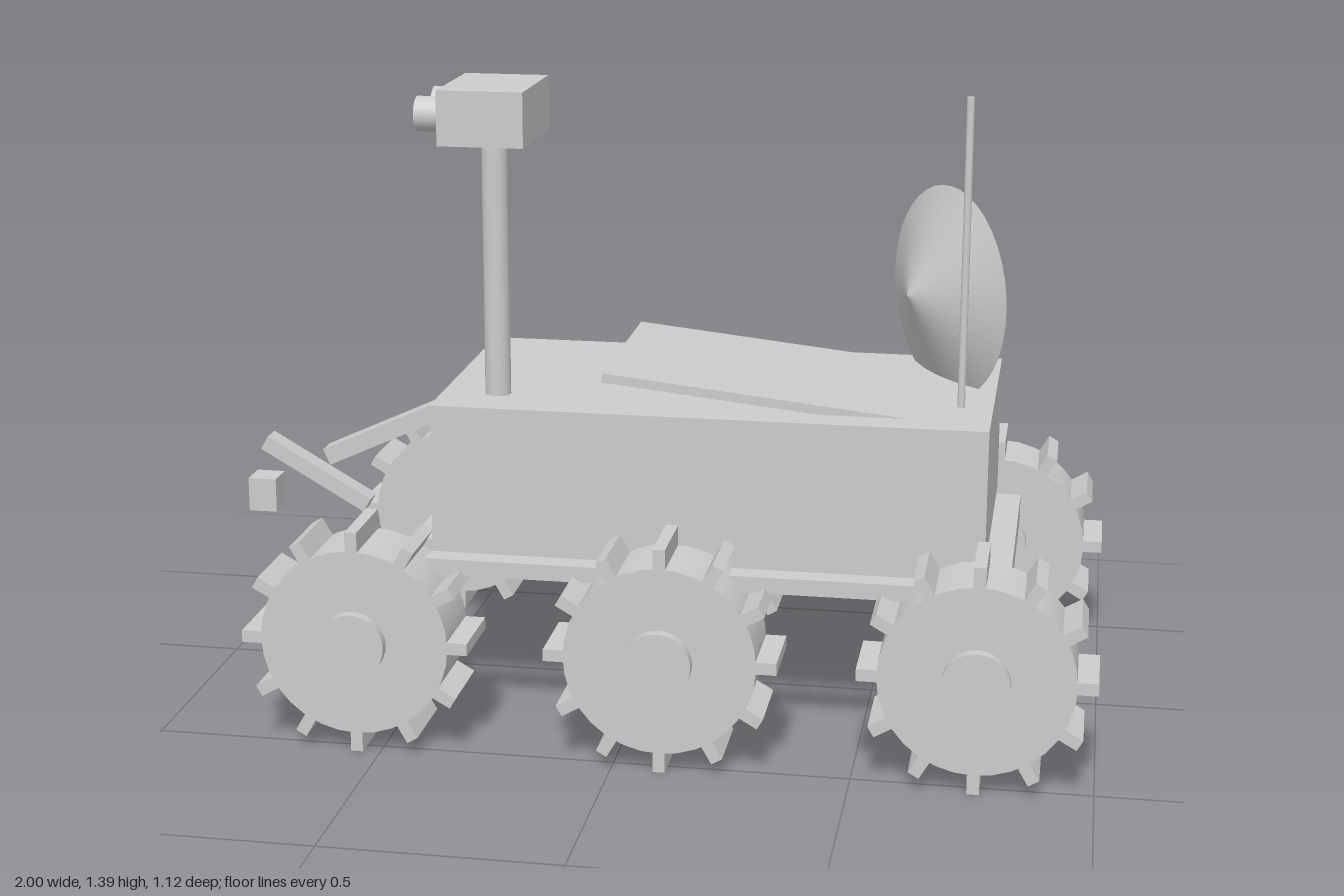
import * as THREE from 'three';

export function createModel() {
  const rover = new THREE.Group();
  rover.name = 'rover';
  const grey = new THREE.MeshStandardMaterial({ color: 0xcccccc });
  grey.name = 'light grey';

  const add = (name, geometry, [x, y, z], parent = rover) => {
    const mesh = new THREE.Mesh(geometry, grey);
    mesh.name = name;
    mesh.position.set(x, y, z);
    parent.add(mesh);
    return mesh;
  };
  const box = (name, size, at, parent) => add(name, new THREE.BoxGeometry(...size), at, parent);
  const rod = (name, r, length, at, parent) =>
    add(name, new THREE.CylinderGeometry(r, r, length, 32), at, parent);

  // Body and the chassis plate under it
  box('body', [1.19, 0.305, 0.614], [0.16, 0.555, 0]);
  box('chassisPlate', [1.3, 0.06, 0.544], [0.16, 0.365, 0]);

  // Wheels with twelve cleats each, joined by a side beam
  for (const side of [1, -1]) {
    box('sideBeam', [1.3, 0.035, 0.05], [0.1, 0.384, side * 0.392]);
    for (const x of [-0.55, 0.1025, 0.755]) {
      const wheel = new THREE.Group();
      wheel.name = 'wheel';
      wheel.position.set(x, 0.245, side * 0.452);
      rover.add(wheel);
      rod('tyre', 0.203, 0.166, [0, 0, 0], wheel).rotation.x = Math.PI / 2;
      rod('hub', 0.07, 0.213, [0, 0, 0], wheel).rotation.x = Math.PI / 2;
      for (let i = 0; i < 12; i++) {
        const a = (i * Math.PI) / 6;
        const at = [0.22 * Math.cos(a), 0.22 * Math.sin(a), 0];
        box('cleat', [0.05, 0.026, 0.166], at, wheel).rotation.z = a;
      }
    }
  }

  // Mast with a camera head and two lenses
  rod('mast', 0.028, 0.57, [-0.313, 0.985, 0.18]);
  box('cameraHead', [0.184, 0.117, 0.257], [-0.314, 1.327, 0.178]);
  for (const z of [0.105, 0.248]) {
    rod('lens', 0.037, 0.07, [-0.426, 1.327, z]).rotation.z = Math.PI / 2;
  }

  // Sloping top panel
  box('topPanel', [0.7, 0.02, 0.475], [0.275, 0.73, -0.002]).rotation.z = -0.105;

  // Cone dish turned sideways, its post, and the antenna
  const cone = new THREE.ConeGeometry(0.235, 0.107, 40);
  cone.translate(0, 0.0535, 0);
  cone.rotateZ(Math.PI / 2);
  add('dish', cone, [0.638, 0.9, -0.142]).rotation.y = 0.61;
  rod('dishPost', 0.012, 0.195, [0.64, 0.828, -0.142]);
  rod('antenna', 0.008, 0.65, [0.692, 1.065, 0.238]);

  // Jointed arm with a gripper block
  box('upperArm', [0.38, 0.04, 0.055], [-0.635, 0.52, -0.168]).rotation.z = 0.43;
  box('forearm', [0.285, 0.036, 0.05], [-0.837, 0.397, -0.168]).rotation.z = -0.524;
  box('gripper', [0.067, 0.08, 0.07], [-0.966, 0.342, -0.166]);

  return rover;
}
